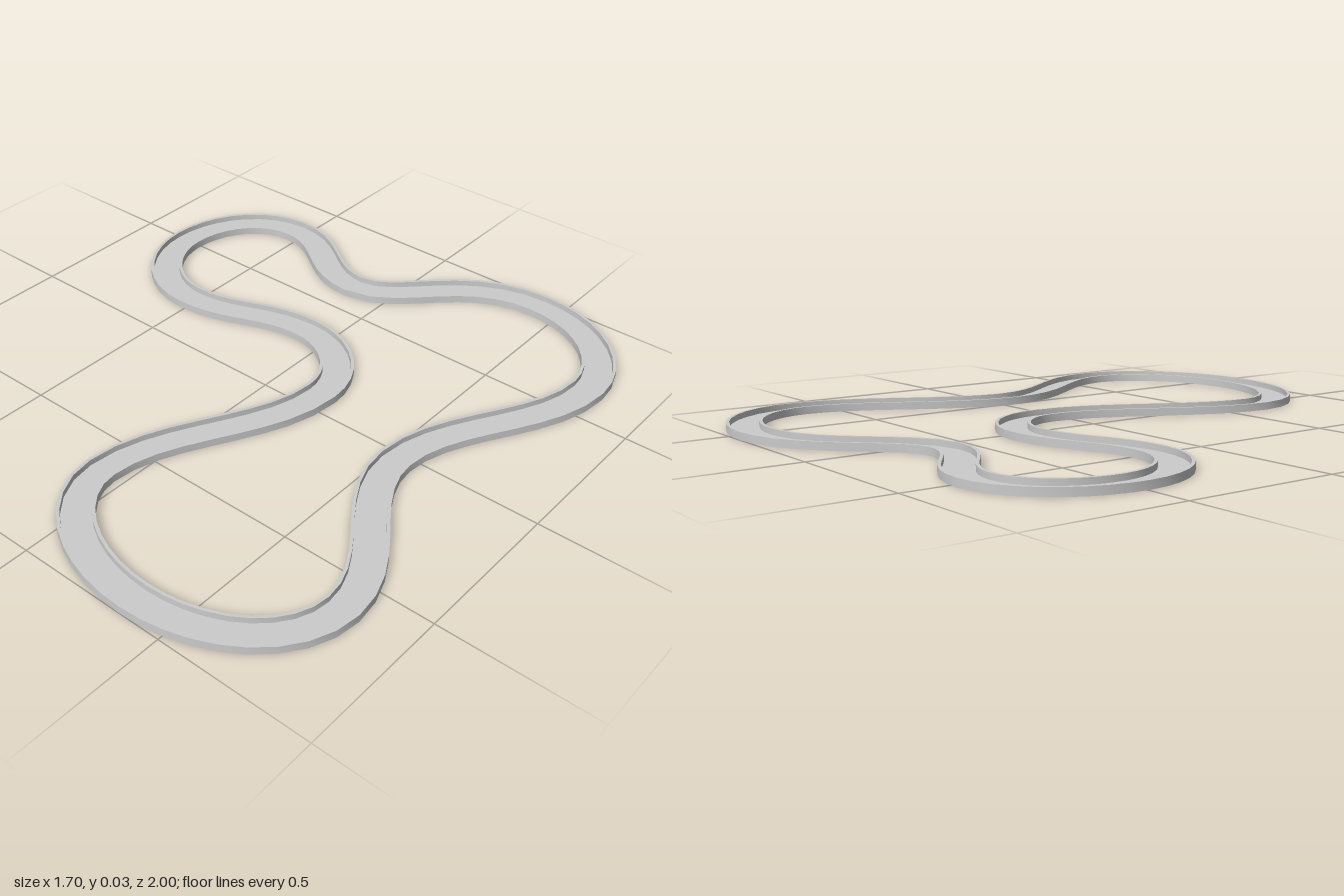
import * as THREE from 'three';
import { toCreasedNormals } from 'three/addons/utils/BufferGeometryUtils.js';

const HALF = 0.055, WALL = 0.01, HEIGHT = 0.025, FLOOR = 0.006, STEPS = 9;

// Centre line anchors: x, z, heading x, heading z, handle before, handle after
const ANCHORS = [
  [0.425, -0.945, 1, 0, 0.31, 0.2],
  [0.795, -0.626, 0, 1, 0.175, 0.25],
  [0.543, 0.05, 0, 1, 0.25, 0.22],
  [0.795, 0.62, 0, 1, 0.22, 0.18],
  [0.36, 0.945, -1, 0, 0.24, 0.24],
  [-0.08, 0.64, 0, -1, 0.17, 0.26],
  [0.171, -0.07, 0, -1, 0.26, 0.135],
  [-0.087, -0.312, -1, 0, 0.14, 0.18],
  [-0.52, -0.208, -1, 0, 0.18, 0.15],
  [-0.795, -0.49, 0, -1, 0.155, 0.17],
  [-0.53, -0.798, 1, 0, 0.145, 0.175],
  [-0.135, -0.632, 1, 0, 0.17, 0.185],
];

// Road section: flat bed with a thin upright wall on each edge (outward distance, height)
const PROFILE = [
  [-HALF, 0], [HALF, 0], [HALF, HEIGHT], [HALF - WALL, HEIGHT],
  [HALF - WALL, FLOOR], [WALL - HALF, FLOOR], [WALL - HALF, HEIGHT], [-HALF, HEIGHT],
];

// Sweep the section once round the closed circuit
function trackGeometry() {
  const positions = [], indices = [];
  const rings = ANCHORS.length * STEPS, sides = PROFILE.length;

  ANCHORS.forEach(([x, z, hx, hz, , after], i) => {
    const [nx, nz, nhx, nhz, before] = ANCHORS[(i + 1) % ANCHORS.length];
    const bend = new THREE.CubicBezierCurve(
      new THREE.Vector2(x, z),
      new THREE.Vector2(x + hx * after, z + hz * after),
      new THREE.Vector2(nx - nhx * before, nz - nhz * before),
      new THREE.Vector2(nx, nz));
    for (let s = 0; s < STEPS; s++) {
      const p = bend.getPointAt(s / STEPS), t = bend.getTangentAt(s / STEPS);
      for (const [u, y] of PROFILE) positions.push(p.x + t.y * u, y, p.y - t.x * u);
    }
  });

  for (let i = 0; i < rings; i++) {
    for (let j = 0; j < sides; j++) {
      const k = (j + 1) % sides, here = i * sides, next = ((i + 1) % rings) * sides;
      indices.push(here + j, here + k, next + k, here + j, next + k, next + j);
    }
  }

  const geometry = new THREE.BufferGeometry();
  geometry.setAttribute('position', new THREE.Float32BufferAttribute(positions, 3));
  geometry.setIndex(indices);
  return toCreasedNormals(geometry, 0.7);
}

export function createModel() {
  const group = new THREE.Group();
  group.name = 'raceTrack';
  const track = new THREE.Mesh(trackGeometry(), new THREE.MeshStandardMaterial({ color: 0xcccccc }));
  track.name = 'walledRoad';
  group.add(track);
  return group;
}
